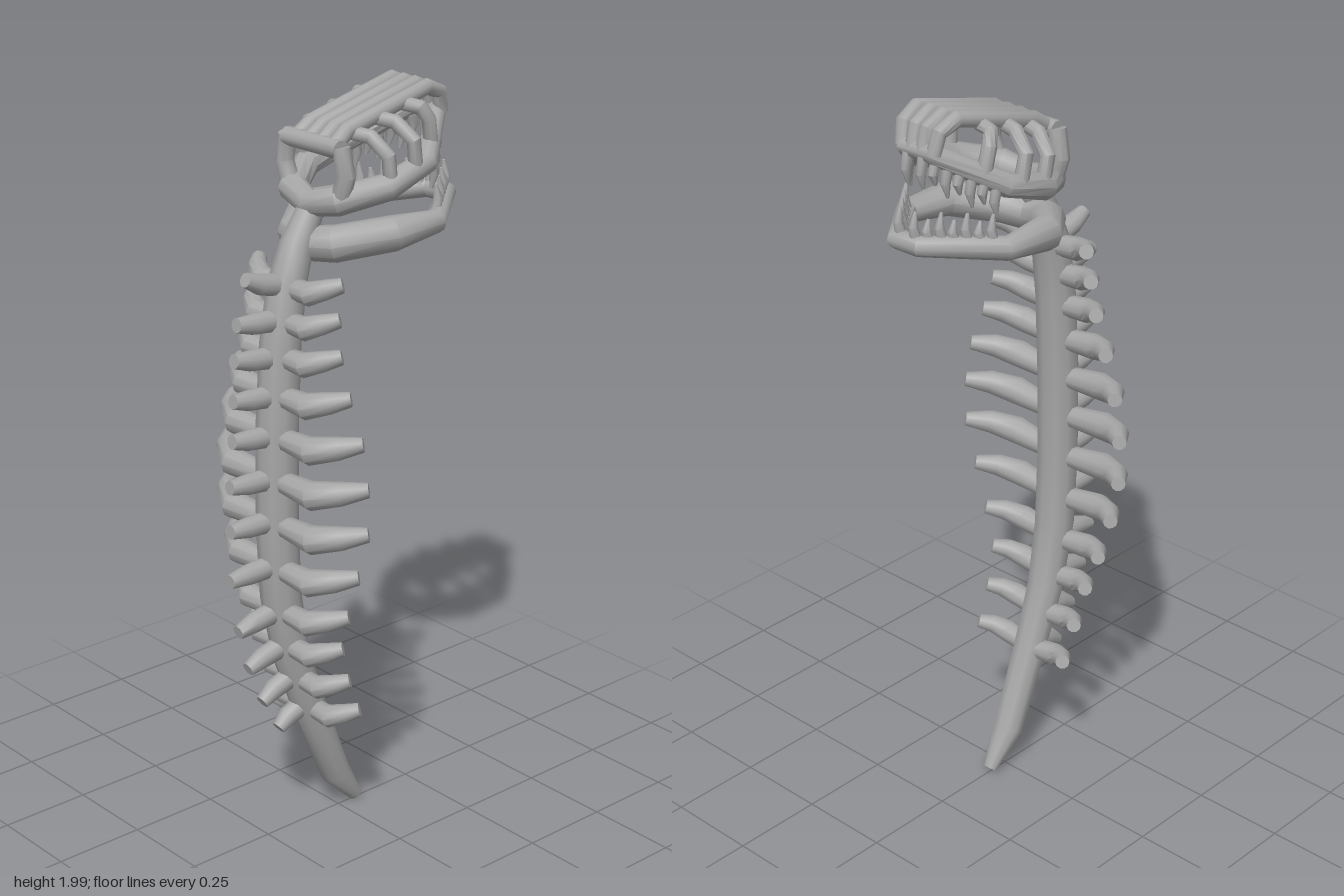
import * as THREE from 'three';
import { toCreasedNormals } from 'three/addons/utils/BufferGeometryUtils.js';

const X = new THREE.Vector3(1, 0, 0), Y = new THREE.Vector3(0, 1, 0), Z = new THREE.Vector3(0, 0, 1);

// Swept tube through points [x, y, z, radius]; ref is a direction never parallel to the path.
function boneGeometry(pts, ref, closed = false, sides = 10) {
  const p = pts.map(a => new THREE.Vector3(a[0], a[1], a[2]));
  const n = p.length, pos = [], idx = [];
  for (let i = 0; i < n; i++) {
    const prev = p[closed ? (i + n - 1) % n : Math.max(i - 1, 0)];
    const next = p[closed ? (i + 1) % n : Math.min(i + 1, n - 1)];
    const t = next.clone().sub(p[i]).normalize().add(p[i].clone().sub(prev).normalize()).normalize();
    const u = ref.clone().cross(t).normalize(), v = t.clone().cross(u);
    for (let j = 0; j < sides; j++) {
      const a = j / sides * Math.PI * 2, r = pts[i][3];
      const q = p[i].clone().addScaledVector(u, Math.cos(a) * r).addScaledVector(v, Math.sin(a) * r);
      pos.push(q.x, q.y, q.z);
    }
  }
  for (let i = 0; i < (closed ? n : n - 1); i++) {
    for (let j = 0; j < sides; j++) {
      const k = (j + 1) % sides, m = (i + 1) % n;
      const a = i * sides + j, b = i * sides + k, c = m * sides + k, d = m * sides + j;
      idx.push(a, b, d, b, c, d);
    }
  }
  if (!closed) {
    const c = pos.length / 3, e = (n - 1) * sides;
    pos.push(...p[0].toArray(), ...p[n - 1].toArray());
    for (let j = 0; j < sides; j++) {
      const k = (j + 1) % sides;
      idx.push(c, k, j, c + 1, e + j, e + k);
    }
  }
  const g = new THREE.BufferGeometry();
  g.setAttribute('position', new THREE.Float32BufferAttribute(pos, 3));
  g.setIndex(idx);
  return toCreasedNormals(g, 0.75);
}

export function createModel() {
  const model = new THREE.Group();
  const bone = new THREE.MeshStandardMaterial({ color: 0xa6a6a6 });
  bone.name = 'bone grey';

  const add = (name, pts, ref, closed) => {
    const mesh = new THREE.Mesh(boneGeometry(pts, ref, closed), bone);
    mesh.name = name;
    model.add(mesh);
  };
  const flip = pts => pts.map(([x, ...rest]) => [-x, ...rest]);
  const pair = (name, pts, ref) => {
    add(name + 'Left', pts, ref);
    add(name + 'Right', flip(pts), ref);
  };
  // Closed symmetric loop from its left half, listed back to front
  const loop = (name, half) => {
    const other = flip(half).reverse().filter(q => Math.abs(q[0]) > 0.001);
    add(name, [...half, ...other], Y, true);
  };

  // Backbone, tail tip to neck
  add('backbone', [
    [0, 0.02, -0.06, 0.02], [0, 0.12, 0.015, 0.042], [0, 0.35, 0.105, 0.046], [0, 0.52, 0.165, 0.05],
    [0, 0.7, 0.198, 0.054], [0, 0.9, 0.207, 0.055], [0, 1.15, 0.205, 0.055], [0, 1.38, 0.192, 0.053],
    [0, 1.53, 0.17, 0.05], [0, 1.63, 0.135, 0.043], [0, 1.72, 0.085, 0.034]], X);

  // Ribs and back spines: [rib y, rib z, rib reach, spine root y, spine tip y, spine tip z]
  const vertebrae = [
    [1.53, 0.17, 0.165, 1.53, 1.57, 0.3], [1.445, 0.185, 0.17, 1.445, 1.46, 0.33],
    [1.355, 0.195, 0.185, 1.35, 1.37, 0.34], [1.255, 0.205, 0.22, 1.25, 1.265, 0.345],
    [1.145, 0.21, 0.26, 1.145, 1.16, 0.35], [1.03, 0.214, 0.28, 1.03, 1.04, 0.36],
    [0.91, 0.214, 0.28, 0.915, 0.92, 0.36], [0.785, 0.212, 0.25, 0.79, 0.785, 0.365],
    [0.66, 0.2, 0.21, 0.66, 0.635, 0.34], [0.555, 0.18, 0.175, 0.555, 0.52, 0.31],
    [0.45, 0.145, 0.165, 0.46, 0.41, 0.265], [0.35, 0.105, 0.16, 0.365, 0.315, 0.21]];
  for (const [y, z, w, sy, ty, tz] of vertebrae) {
    const s = w / 0.28;
    const k = 0.55 + 0.45 * s;
    pair('rib', [
      [0, y - 0.005, z - 0.005, 0.026], [0.55 * w, y, z + 0.008 * s, 0.038 * k],
      [0.8 * w, y + 0.017, z - 0.028 * s, 0.031 * k], [0.97 * w, y + 0.028, z - 0.077 * s, 0.019]], Y);
    add('backSpine', [[0, sy, z, 0.03], [0, (sy + ty) / 2, (z + tz) / 2 + 0.02, 0.027], [0, ty, tz, 0.019]], X);
  }

  // Lower jaw loop
  loop('lowerJaw', [
    [0, 1.625, 0.1, 0.045], [0.075, 1.635, 0.075, 0.047], [0.165, 1.66, -0.035, 0.045],
    [0.168, 1.665, -0.175, 0.03], [0.035, 1.683, -0.338, 0.026]]);

  // Upper jaw loop
  loop('upperJaw', [
    [0, 1.725, 0.095, 0.034], [0.085, 1.745, 0.075, 0.038], [0.152, 1.775, -0.025, 0.035],
    [0.15, 1.815, -0.155, 0.03], [0.04, 1.905, -0.295, 0.025]]);

  // Skull roof: four long bars curving down to the snout, and a rear crossbar
  const roof = x => [
    [x * 1.1, 1.87, 0.085, 0.021], [x, 1.908, 0.03, 0.022], [x, 1.978, -0.235, 0.021],
    [x * 0.9, 1.957, -0.285, 0.02], [x * 0.8, 1.905, -0.298, 0.019]];
  pair('innerRoofBar', roof(0.021), X);
  pair('outerRoofBar', roof(0.064), X);
  add('rearCrossbar', [[-0.1, 1.875, 0.08, 0.024], [0.1, 1.875, 0.08, 0.024]], Y);

  // Cheek struts arching from roof to upper jaw
  pair('rearStrut', [[0.1, 1.88, 0.078, 0.024], [0.115, 1.81, 0.075, 0.024], [0.09, 1.745, 0.075, 0.026]], Z);
  const struts = [[0, 1.9, 1.775, 0.155], [-0.08, 1.925, 1.805, 0.158], [-0.165, 1.948, 1.85, 0.12]];
  for (const [z, top, low, x] of struts) {
    pair('cheekStrut', [
      [0.062, top, z + 0.01, 0.019], [0.115, top - 0.004, z - 0.005, 0.019],
      [x + 0.005, (top + low) / 2 + 0.015, z - 0.022, 0.019], [x, low, z - 0.035, 0.019]], Z);
  }

  // Teeth, spaced from cheek to snout
  for (let i = 0; i < 7; i++) {
    const f = i / 6, size = i % 2 ? 0.75 : 1;
    const ux = 0.143 - 0.118 * f, uy = 1.82 + 0.075 * f, uz = -0.18 - 0.125 * f;
    pair('upperTooth', [
      [ux, uy, uz, 0.014], [ux, uy - 0.04 * size, uz - 0.01, 0.013], [ux, uy - 0.078 * size, uz - 0.002, 0.004]], X);
    const lx = 0.145 - 0.12 * f, ly = 1.68 + 0.015 * f, lz = -0.195 - 0.14 * f;
    pair('lowerTooth', [
      [lx, ly, lz, 0.014], [lx, ly + 0.035 * size, lz - 0.008, 0.012], [lx, ly + 0.072 * size, lz, 0.004]], X);
  }
  return model;
}
